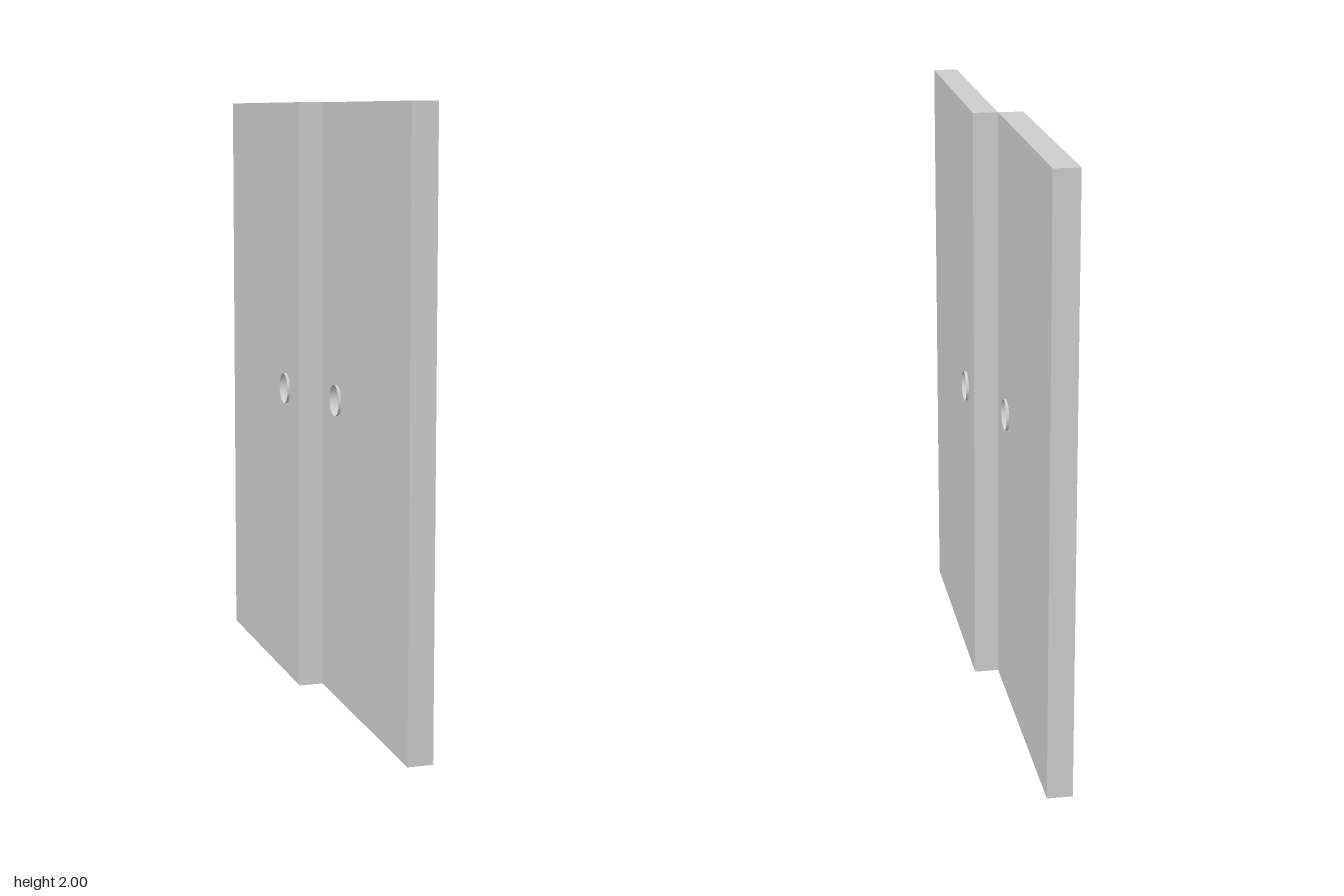
import * as THREE from 'three';

const THICK = 0.083, WIDTH = 0.905, HEIGHT = 2;
const PULL_Y = 1.02, PULL_Z = 0.165, PULL_R = 0.052, LIP = 0.009;

// Door slab with a round opening for the finger pulls
function slabGeometry() {
  const shape = new THREE.Shape();
  shape.moveTo(0, 0).lineTo(WIDTH, 0).lineTo(WIDTH, HEIGHT).lineTo(0, HEIGHT).closePath();
  const hole = new THREE.Path();
  hole.absarc(PULL_Z, PULL_Y, PULL_R - 0.001, 0, Math.PI * 2, true);
  shape.holes.push(hole);
  const geometry = new THREE.ExtrudeGeometry(shape, { depth: THICK, bevelEnabled: false, curveSegments: 16 });
  return geometry.rotateY(-Math.PI / 2).translate(THICK, 0, 0);
}

// Hollow bowl with a thin raised lip, opening along +y
function pullGeometry() {
  const depth = 0.032, points = [];
  for (let i = 0; i <= 10; i++) {
    const a = (i / 10) * Math.PI / 2;
    points.push(new THREE.Vector2(Math.sin(a) * PULL_R, LIP - depth * Math.cos(a)));
  }
  return new THREE.LatheGeometry(points, 32);
}

export function createModel() {
  const model = new THREE.Group();
  model.name = 'slidingDoors';
  const grey = new THREE.MeshStandardMaterial({ color: 0xcccccc, side: THREE.DoubleSide });
  grey.name = 'door grey';
  const slab = slabGeometry();
  const bowl = pullGeometry();
  const rim = new THREE.CylinderGeometry(PULL_R, PULL_R, LIP, 32, 1, true).translate(0, LIP / 2, 0);

  // Two identical doors, the rear one turned half round
  ['frontDoor', 'rearDoor'].forEach((name, i) => {
    const door = new THREE.Group();
    door.name = name;
    const panel = new THREE.Mesh(slab, grey);
    panel.name = 'panel';
    door.add(panel);

    // A finger pull on each face
    for (const side of [1, -1]) {
      const pull = new THREE.Group();
      pull.name = side > 0 ? 'outerPull' : 'innerPull';
      const bowlMesh = new THREE.Mesh(bowl, grey);
      bowlMesh.name = 'pullBowl';
      const rimMesh = new THREE.Mesh(rim, grey);
      rimMesh.name = 'pullRim';
      pull.add(bowlMesh, rimMesh);
      pull.rotation.z = -side * Math.PI / 2;
      pull.position.set(side > 0 ? THICK : 0, PULL_Y, PULL_Z);
      door.add(pull);
    }
    door.rotation.y = i * Math.PI;
    model.add(door);
  });
  return model;
}
